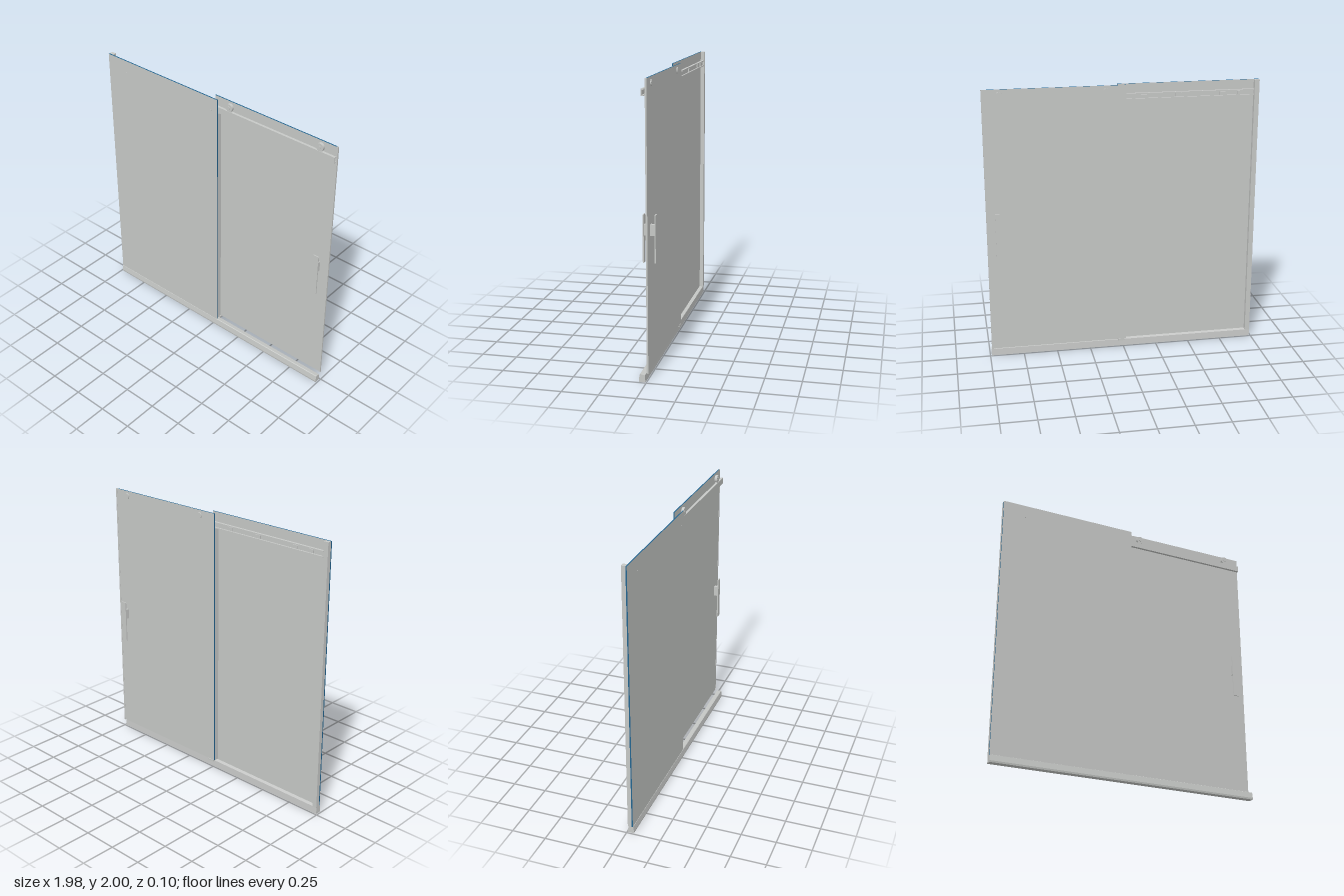
import * as THREE from 'three';

export function createModel() {
  const root = new THREE.Group();
  const grey = new THREE.MeshStandardMaterial({ color: 0xc6c8c6 });
  grey.name = 'pale grey';
  const blue = new THREE.MeshStandardMaterial({ color: 0x23648f });
  blue.name = 'glass edge blue';

  function add(name, geometry, material = grey, parent = root) {
    const mesh = new THREE.Mesh(geometry, material);
    mesh.name = name;
    parent.add(mesh);
    return mesh;
  }
  // Box given by its limits on each axis
  function box(name, [x0, x1], [y0, y1], [z0, z1], material = grey, parent = root) {
    const mesh = add(name, new THREE.BoxGeometry(x1 - x0, y1 - y0, z1 - z0), material, parent);
    mesh.position.set((x0 + x1) / 2, (y0 + y1) / 2, (z0 + z1) / 2);
    return mesh;
  }
  // Cylinder along z
  function disc(name, x, y, z0, z1, radius, parent = root) {
    const geometry = new THREE.CylinderGeometry(radius, radius, z1 - z0, 24).rotateX(Math.PI / 2);
    const mesh = add(name, geometry, grey, parent);
    mesh.position.set(x, y, (z0 + z1) / 2);
    return mesh;
  }

  // Glass panels: grey faces, blue cut edges
  const glass = [blue, blue, blue, blue, grey, grey];
  box('fixedPanel', [-0.99, 0.035], [0.05, 2], [0.035, 0.044], glass);
  box('slidingPanel', [-0.02, 0.975], [0.065, 2], [-0.012, -0.003], glass);

  // Sill with a sloping top
  const profile = new THREE.Shape([
    [0.007, 0], [0.05, 0], [0.052, 0.012], [0.046, 0.053], [0.04, 0.056], [0.01, 0.05],
  ].map(([z, y]) => new THREE.Vector2(-z, y)).reverse());
  const sill = new THREE.ExtrudeGeometry(profile, { depth: 1.98, bevelEnabled: false });
  add('sill', sill.rotateY(Math.PI / 2).translate(-0.99, 0, 0));

  // Wall jamb behind the fixed panel, and seals on the panel edges
  box('wallJamb', [-0.99, -0.955], [0.05, 2], [0.006, 0.035]);
  box('slidingEdgeSeal', [0.975, 0.988], [0.062, 2], [-0.013, -0.002]);
  box('overlapSealFront', [0.025, 0.033], [0.06, 1.89], [-0.002, 0.035]);
  box('overlapSealBack', [-0.018, -0.01], [0.06, 1.89], [-0.003, 0.035]);
  box('bottomGuide', [-0.01, 0.04], [0.05, 0.064], [-0.014, 0.012]);

  // Sliding rail: a web with two lips and fixing blocks
  const rail = new THREE.Group();
  rail.name = 'rail';
  root.add(rail);
  box('railWeb', [-0.95, 0.985], [1.89, 1.935], [0.018, 0.024], grey, rail);
  for (const y of [1.89, 1.928]) {
    box('railLip', [-0.95, 0.985], [y, y + 0.007], [0.006, 0.018], grey, rail);
  }
  for (const x of [-0.85, -0.72, -0.4, -0.15]) {
    box('railBlock', [x - 0.02, x + 0.02], [1.9, 1.924], [0.01, 0.018], grey, rail);
  }
  for (const x of [-0.82, -0.02]) {
    disc('railSpacer', x, 1.905, 0.024, 0.035, 0.012);
    disc('railScrew', x, 1.905, 0.044, 0.046, 0.005);
  }

  // Rollers: wheel and foot in front of the sliding glass, cap behind
  for (const x of [0.12, 0.865]) {
    const roller = new THREE.Group();
    roller.name = 'roller';
    root.add(roller);
    disc('wheel', x, 1.962, 0.003, 0.022, 0.028, roller);
    disc('axle', x, 1.962, -0.012, 0.025, 0.011, roller);
    box('foot', [x - 0.018, x + 0.018], [1.93, 1.955], [0.004, 0.02], grey, roller);
    disc('backCap', x, 1.962, -0.019, -0.012, 0.022, roller);
  }

  // Handle: a plate on each side joined through the glass
  const handle = new THREE.Group();
  handle.name = 'handle';
  root.add(handle);
  for (const z of [0.027, -0.052]) {
    box('handlePlate', [0.883, 0.926], [0.8, 1.12], [z, z + 0.008], grey, handle);
  }
  box('handleBar', [0.892, 0.917], [0.98, 1.055], [-0.045, 0.028], grey, handle);

  return root;
}
